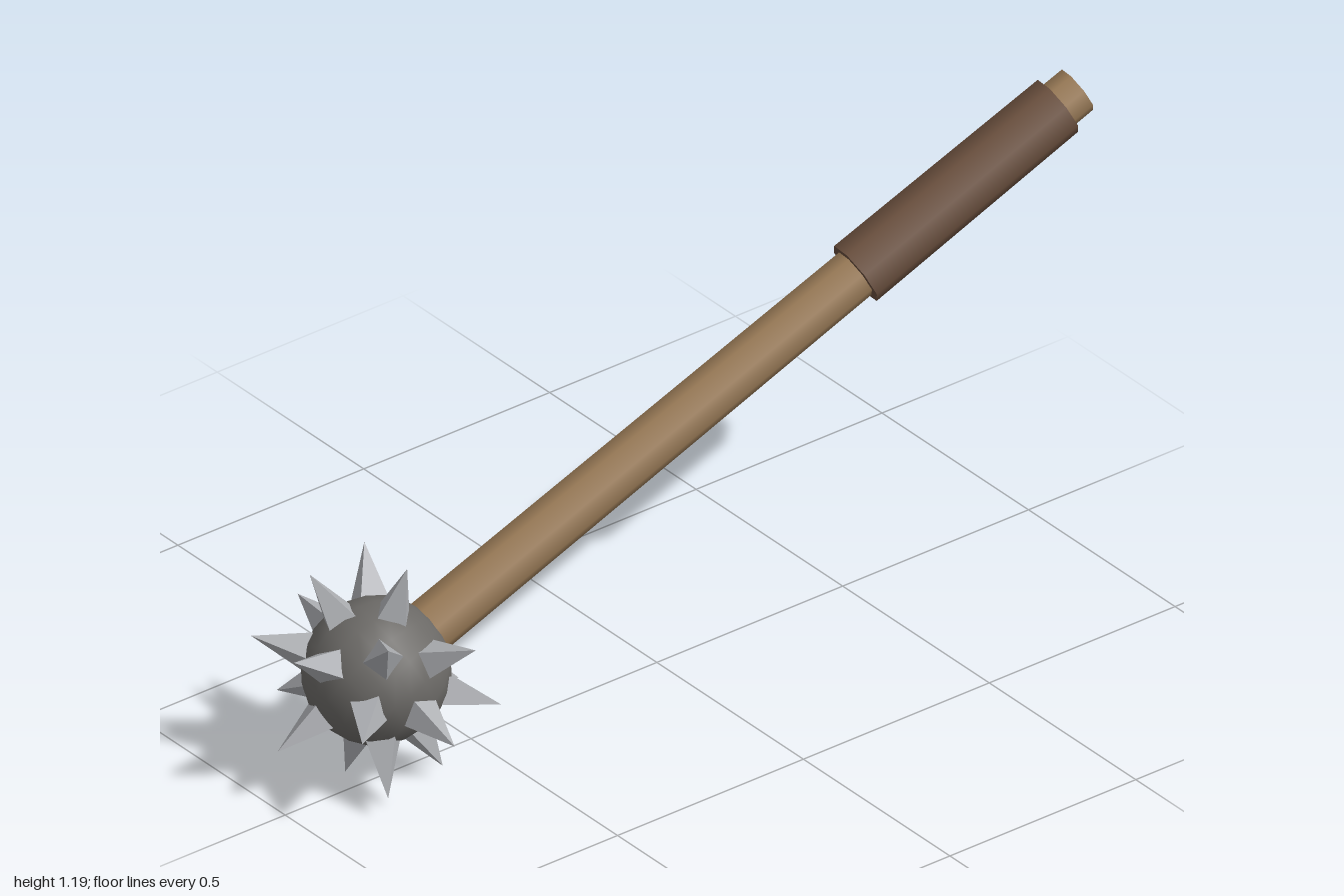
import * as THREE from 'three';

const mat = (name, color, flatShading = false) => {
  const m = new THREE.MeshStandardMaterial({ color, flatShading });
  m.name = name;
  return m;
};

export function createModel() {
  const wood = mat('wood', 0x9a7b57);
  const leather = mat('leather', 0x6b503e);
  const iron = mat('dark iron', 0x6c6a67);
  const steel = mat('steel', 0xaeb0b4, true);

  // Local frame: origin at the ball centre, +y along the shaft
  const mace = new THREE.Group();
  mace.name = 'mace';
  const add = (name, geometry, material) => {
    const mesh = new THREE.Mesh(geometry, material);
    mesh.name = name;
    mace.add(mesh);
    return mesh;
  };

  // Eight-sided shaft and the grip wrapped round its far end
  const LENGTH = 1.95;
  add('shaft', new THREE.CylinderGeometry(0.055, 0.063, LENGTH, 8), wood).position.y = LENGTH / 2;
  add('grip', new THREE.CylinderGeometry(0.071, 0.075, 0.563, 8), leather).position.y = 1.614;

  // Ball head
  add('ball', new THREE.SphereGeometry(0.16, 16, 12), iron);

  // Spikes: one at the tip, then three rings of six
  const TIP = 0.275, BASE = 0.13;
  const spikeGeometry = new THREE.ConeGeometry(0.052, TIP - BASE, 4);
  spikeGeometry.translate(0, (TIP + BASE) / 2, 0);
  const up = new THREE.Vector3(0, 1, 0);
  const addSpike = (polar, azimuth) => {
    const dir = new THREE.Vector3(
      Math.sin(polar) * Math.cos(azimuth), Math.cos(polar), Math.sin(polar) * Math.sin(azimuth));
    add('spike', spikeGeometry, steel).quaternion.setFromUnitVectors(up, dir);
  };
  addSpike(Math.PI - 1e-4, 0);
  for (const [degrees, offset] of [[55, 30], [90, 0], [125, 30]]) {
    for (let i = 0; i < 6; i++) {
      addSpike(THREE.MathUtils.degToRad(degrees), THREE.MathUtils.degToRad(offset + i * 60));
    }
  }

  // Lean the whole weapon, head low at the front
  const y = new THREE.Vector3(0.2, 0.88, -1.73).normalize();
  const x = new THREE.Vector3(y.y, -y.x, 0).normalize();
  const z = new THREE.Vector3().crossVectors(x, y);
  mace.quaternion.setFromRotationMatrix(new THREE.Matrix4().makeBasis(x, y, z));
  mace.position.set(0, 0.271, 0.755);

  const model = new THREE.Group();
  model.name = 'spikedMace';
  model.add(mace);
  return model;
}
